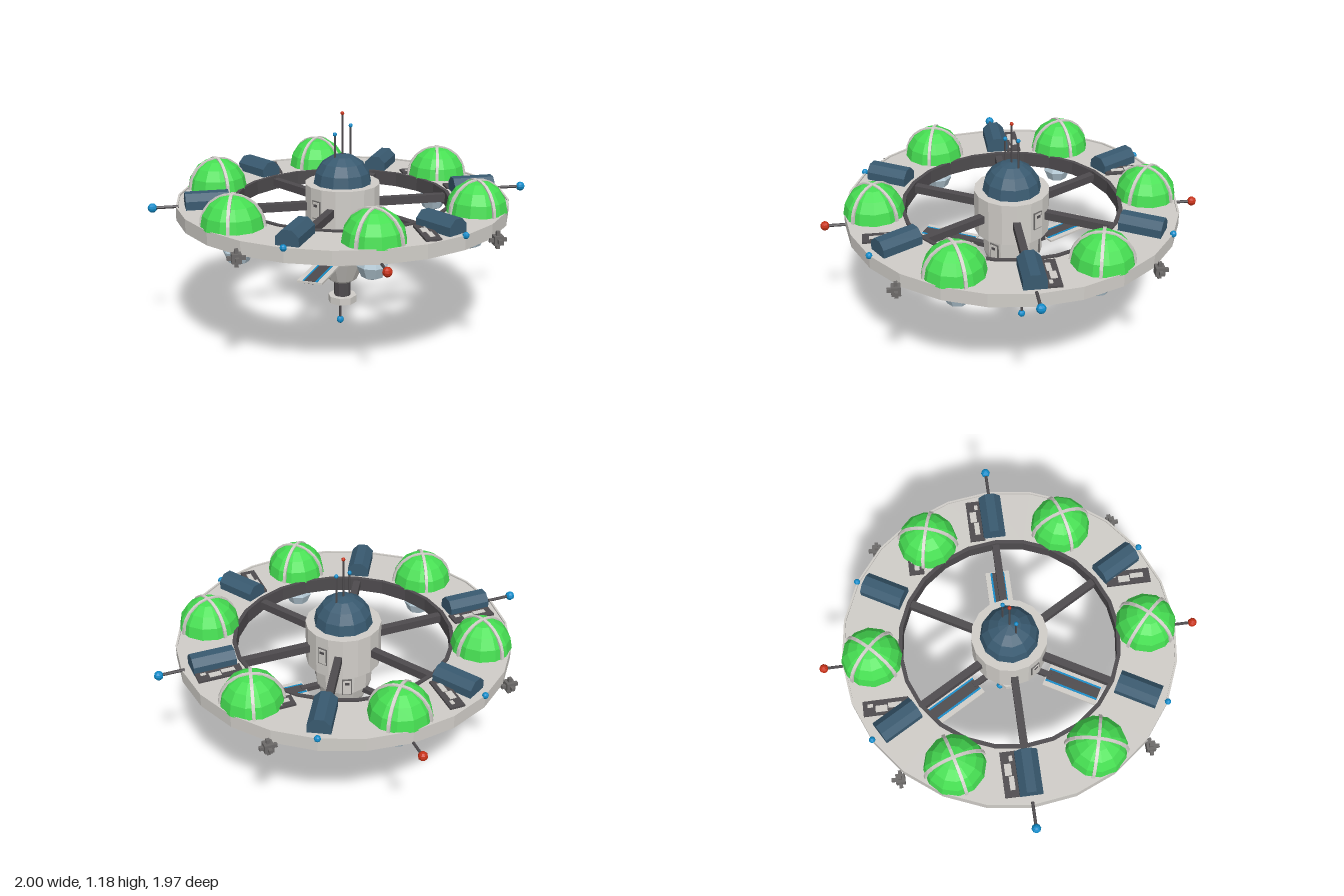
import * as THREE from 'three';

const paint = (name, color) => {
  const m = new THREE.MeshStandardMaterial({ color });
  m.name = name;
  return m;
};

export function createModel() {
  const model = new THREE.Group();
  model.name = 'spaceStation';
  const hull = paint('hullGrey', 0xd0cdc8);
  const dark = paint('darkStrut', 0x4e4b4e);
  const metal = paint('thrusterGrey', 0x6c6a69);
  const navy = paint('navyBlue', 0x395a70);
  const green = paint('gardenGreen', 0x46de52);
  const pale = paint('paleGlass', 0xb6cbd7);
  const blue = paint('signalBlue', 0x118cca);
  const red = paint('beaconRed', 0xc83218);

  // Faceted normals on every part
  const add = (parent, name, geometry, material, x = 0, y = 0, z = 0) => {
    const g = geometry.index ? geometry.toNonIndexed() : geometry;
    g.computeVertexNormals();
    const mesh = new THREE.Mesh(g, material);
    mesh.name = name;
    mesh.position.set(x, y, z);
    parent.add(mesh);
    return mesh;
  };
  const box = (w, h, d) => new THREE.BoxGeometry(w, h, d);
  const cyl = (r, h, n) => new THREE.CylinderGeometry(r, r, h, n);
  const lathe = (pts, n) => new THREE.LatheGeometry(pts.map(p => new THREE.Vector2(...p)), n);
  const halfSphere = r => new THREE.SphereGeometry(r, 12, 4, 0, Math.PI * 2, 0, Math.PI / 2);
  // Rectangular band bent into an upright half circle
  const arch = (r0, r1, w) => new THREE.LatheGeometry(
    [[r0, -w], [r1, -w], [r1, w], [r0, w]].map(p => new THREE.Vector2(...p)),
    12, Math.PI / 2, Math.PI).rotateX(Math.PI / 2);
  // Group whose local +x points outwards at an angle measured from +x towards +z
  const radial = (name, degrees) => {
    const g = new THREE.Group();
    g.name = name;
    g.rotation.y = -THREE.MathUtils.degToRad(degrees);
    model.add(g);
    return g;
  };

  // Outer ring
  add(model, 'ringHull', lathe([[0.565, 0.658], [0.86, 0.658], [0.86, 0.73], [0.85, 0.73], [0.85, 0.722], [0.565, 0.722]], 24), hull);
  add(model, 'ringInnerRim', lathe([[0.552, 0.655], [0.572, 0.655], [0.572, 0.73], [0.552, 0.73], [0.552, 0.655]], 24), dark);

  // Central hub and tapering lower body
  add(model, 'hub', lathe([[0, 0.583], [0.195, 0.583], [0.195, 0.81], [0, 0.81]], 16), hull);
  add(model, 'lowerBody', lathe([[0, 0.265], [0.05, 0.265], [0.078, 0.283], [0.128, 0.39], [0.147, 0.45], [0.152, 0.583]], 12), hull);
  add(model, 'hubDome', halfSphere(0.152), navy, 0, 0.808, 0);
  add(model, 'neck', cyl(0.044, 0.09, 10), dark, 0, 0.225, 0);
  add(model, 'nozzle', lathe([[0.055, 0.165], [0.058, 0.15], [0.076, 0.15], [0.076, 0.188], [0, 0.188]], 8), hull).rotation.y = Math.PI / 8;
  add(model, 'nozzleGlow', cyl(0.058, 0.006, 8), blue, 0, 0.165, 0).rotation.y = Math.PI / 8;

  // Antennas: thin rod between two heights with a ball at the end
  const mast = (x, z, y0, y1, rodRadius, ballRadius, material) => {
    add(model, 'mast', cyl(rodRadius, Math.abs(y1 - y0), 6), dark, x, (y0 + y1) / 2, z);
    add(model, 'mastBall', new THREE.SphereGeometry(ballRadius, 8, 6), material, x, y1, z);
  };
  mast(0, 0, 0.94, 1.172, 0.005, 0.01, red);
  mast(-0.045, 0.027, 0.92, 1.07, 0.005, 0.011, blue);
  mast(0.049, -0.027, 0.92, 1.1, 0.005, 0.011, blue);
  mast(0, -0.055, 0.17, 0.02, 0.007, 0.02, blue);

  for (let i = 0; i < 6; i++) {
    // Spoke and barrel module
    const arm = radial('spokeBay', i * 60);
    add(arm, 'spoke', box(0.38, 0.042, 0.038), dark, 0.375, 0.695, 0);
    const barrel = add(arm, 'barrelModule', cyl(0.062, 0.22, 8).rotateY(Math.PI / 8), navy, 0.702, 0.742, 0);
    barrel.rotation.z = Math.PI / 2;
    if (i % 3) add(arm, 'edgeLight', new THREE.SphereGeometry(0.017, 8, 6), blue, 0.86, 0.73, 0);

    // Garden dome with crossed ribs, and a glass pod underneath
    const bay = radial('gardenBay', i * 60 + 30);
    add(bay, 'gardenDome', halfSphere(0.157), green, 0.707, 0.724, 0);
    for (const s of [-1, 1]) {
      add(bay, 'domeRib', arch(0.148, 0.162, 0.008), hull, 0.707, 0.724, 0).rotation.y = s * Math.PI / 4;
    }
    add(bay, 'glassPod', new THREE.SphereGeometry(0.076, 8, 4), pale, 0.68, 0.594, 0);
  }

  // Solar panels around the lower body, striped on both faces
  for (const a of [0, 120, 240]) {
    const panel = radial('solarPanel', a);
    add(panel, 'panelArm', box(0.12, 0.026, 0.03), dark, 0.18, 0.438, 0);
    add(panel, 'panelPlate', box(0.3, 0.01, 0.13), hull, 0.366, 0.438, 0);
    for (const s of [-1, 1]) {
      add(panel, 'panelStrip', box(0.29, 0.004, 0.056), dark, 0.366, 0.438 + s * 0.006, 0);
      for (const t of [-1, 1]) add(panel, 'panelLine', box(0.29, 0.003, 0.01), blue, 0.366, 0.438 + s * 0.006, t * 0.033);
    }
  }

  // Side beacons: blue on the left and right, red at front and back
  for (let i = 0; i < 4; i++) {
    const beacon = radial('sideBeacon', i * 90);
    const [y, tip, material] = i % 2 ? [0.66, 0.962, red] : [0.73, 0.976, blue];
    add(beacon, 'beaconRod', cyl(0.008, 0.13, 6), dark, 0.91, y, 0).rotation.z = Math.PI / 2;
    add(beacon, 'beaconBall', new THREE.SphereGeometry(0.024, 8, 6), material, tip, y, 0);
  }

  // Manoeuvring thrusters on the four diagonals
  for (const sx of [-1, 1]) for (const sz of [-1, 1]) {
    const t = new THREE.Group();
    t.name = 'thruster';
    t.position.set(sx * 0.63, 0.657, sz * 0.63);
    model.add(t);
    add(t, 'thrusterBlock', box(0.046, 0.046, 0.046), metal);
    for (const s of [-1, 1]) {
      add(t, 'jetVertical', box(0.018, 0.022, 0.018), metal, 0, s * 0.033, 0);
      add(t, 'jetSide', box(0.022, 0.018, 0.018), metal, s * 0.033, 0, 0);
    }
    add(t, 'jetOuter', box(0.018, 0.018, 0.022), metal, 0, 0, sz * 0.033);
  }

  // Machinery plates on the ring deck: x, z, quarter turns, length
  for (const [x, z, turn, length] of [[0.695, -0.09, 0, 0.23], [-0.695, -0.09, 0, 0.23], [-0.268, -0.66, 1, 0.23], [0.268, 0.66, 1, 0.23], [0.5, -0.43, 0, 0.14]]) {
    const deck = new THREE.Group();
    deck.name = 'deckMachinery';
    deck.position.set(x, 0.727, z);
    deck.rotation.y = turn * Math.PI / 2;
    model.add(deck);
    add(deck, 'deckPlate', box(length, 0.012, 0.078), dark);
    for (const [u, v, w, d] of [[-0.2, 0.004, 0.3, 0.026], [0.1, -0.008, 0.26, 0.034], [0.34, 0.012, 0.12, 0.018]]) {
      add(deck, 'deckPatch', box(w * length, 0.004, d), hull, u * length, 0.007, v);
    }
  }

  // Framed hatches on the hub and lower body: angle, radius, height
  for (const [angle, r, y] of [[45, 0.146, 0.495], [-75, 0.146, 0.495], [-35, 0.19, 0.7], [145, 0.19, 0.7]]) {
    const h = radial('hatch', angle);
    add(h, 'hatchFrame', box(0.014, 0.095, 0.052), metal, r, y, 0);
    add(h, 'hatchDoor', box(0.014, 0.084, 0.042), hull, r + 0.003, y, 0);
    add(h, 'hatchWindow', box(0.014, 0.014, 0.024), dark, r + 0.005, y + 0.024, 0);
  }
  return model;
}
